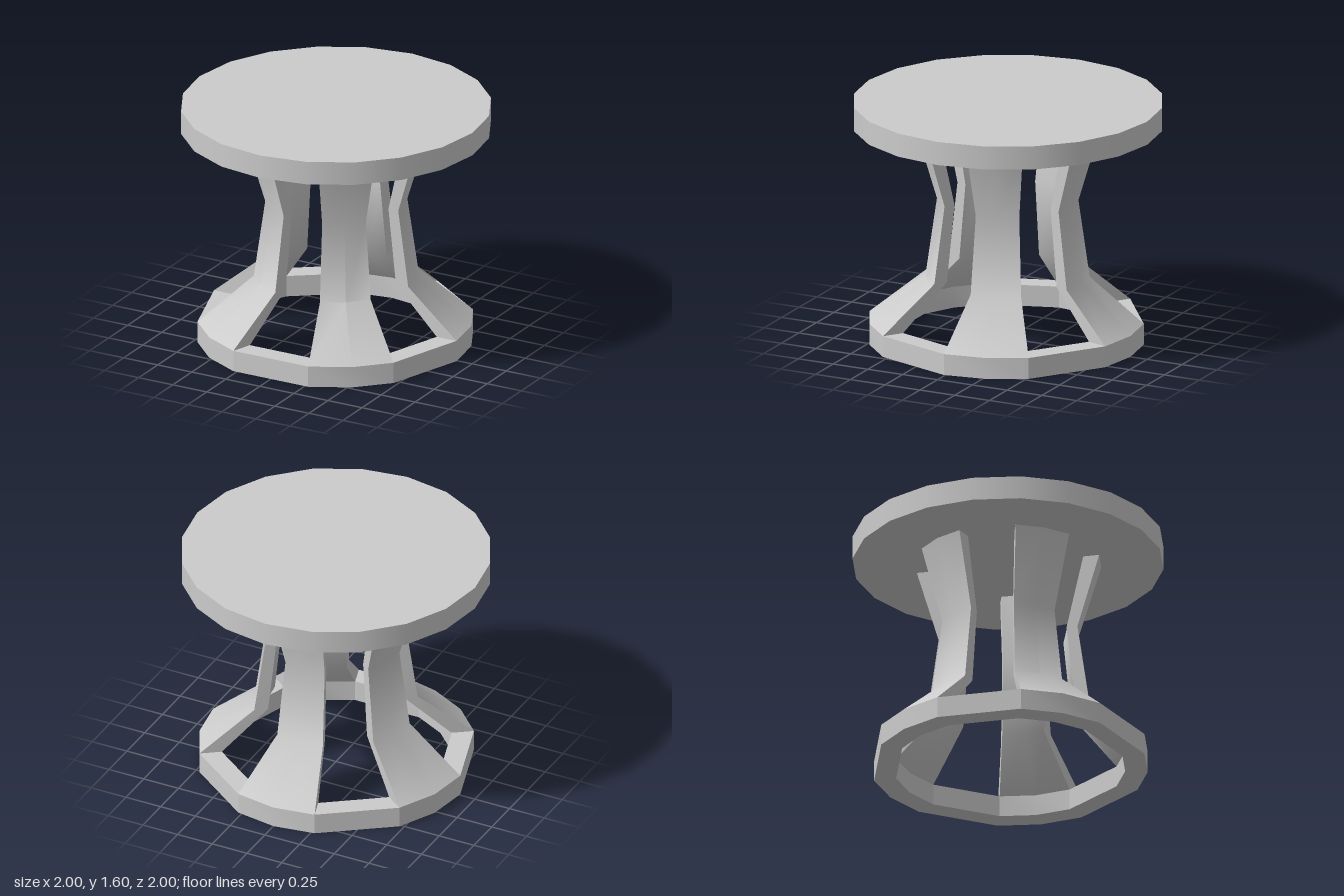
import * as THREE from 'three';
import { toCreasedNormals } from 'three/addons/utils/BufferGeometryUtils.js';

const DEG = Math.PI / 180;
const HALF = 18; // half of the angle a leg covers
const legAngles = [36, 108, 180, 252, 324]; // measured from +z towards +x
const BASE_SHIFT = 0.01; // the base sits slightly forward
const BASE_OUT = 0.89, BASE_IN = 0.745, BASE_TOP = 0.14;

// leg cross-sections: height, outer radius, inner radius, shift in z
const levels = [
  [BASE_TOP, BASE_OUT, BASE_IN, BASE_SHIFT],
  [0.44, 0.53, 0.44, 0],
  [0.95, 0.457, 0.385, 0],
  [1.44, 0.6, 0.495, 0],
];

const arc = (a) => [a - HALF, a, a + HALF];

// curved plank lofted through the levels
function legGeometry(a) {
  const pos = [], idx = [];
  for (const [y, ro, ri, dz] of levels) {
    const add = (t, r) => pos.push(r * Math.sin(t * DEG), y, r * Math.cos(t * DEG) + dz);
    arc(a).forEach((t) => add(t, ro));
    arc(a).reverse().forEach((t) => add(t, ri));
  }
  for (let l = 0; l < levels.length - 1; l++) {
    for (let i = 0; i < 6; i++) {
      const p = l * 6 + i, q = l * 6 + ((i + 1) % 6);
      idx.push(p, q, q + 6, p, q + 6, p + 6);
    }
  }
  const g = new THREE.BufferGeometry();
  g.setAttribute('position', new THREE.Float32BufferAttribute(pos, 3));
  g.setIndex(idx);
  return toCreasedNormals(g, 45 * DEG);
}

// base ring: straight across the gaps, bent at the middle of each leg
function baseGeometry() {
  const outline = (r) => legAngles.flatMap(arc).map(
    (t) => new THREE.Vector2(r * Math.sin(t * DEG), -r * Math.cos(t * DEG)));
  const shape = new THREE.Shape(outline(BASE_OUT));
  shape.holes.push(new THREE.Path(outline(BASE_IN)));
  const g = new THREE.ExtrudeGeometry(shape, { depth: BASE_TOP, bevelEnabled: false });
  g.rotateX(-Math.PI / 2).translate(0, 0, BASE_SHIFT);
  return toCreasedNormals(g, 25 * DEG);
}

export function createModel() {
  const group = new THREE.Group();
  group.name = 'stool';
  const material = new THREE.MeshStandardMaterial({ color: 0xcccccc });
  const add = (name, geometry) => {
    const mesh = new THREE.Mesh(geometry, material);
    mesh.name = name;
    group.add(mesh);
    return mesh;
  };

  // round seat with twenty sides
  add('seat', new THREE.CylinderGeometry(1, 1, 0.155, 20)).position.y = 1.5175;

  legAngles.forEach((a, i) => add('leg' + (i + 1), legGeometry(a)));
  add('baseRing', baseGeometry());
  return group;
}
